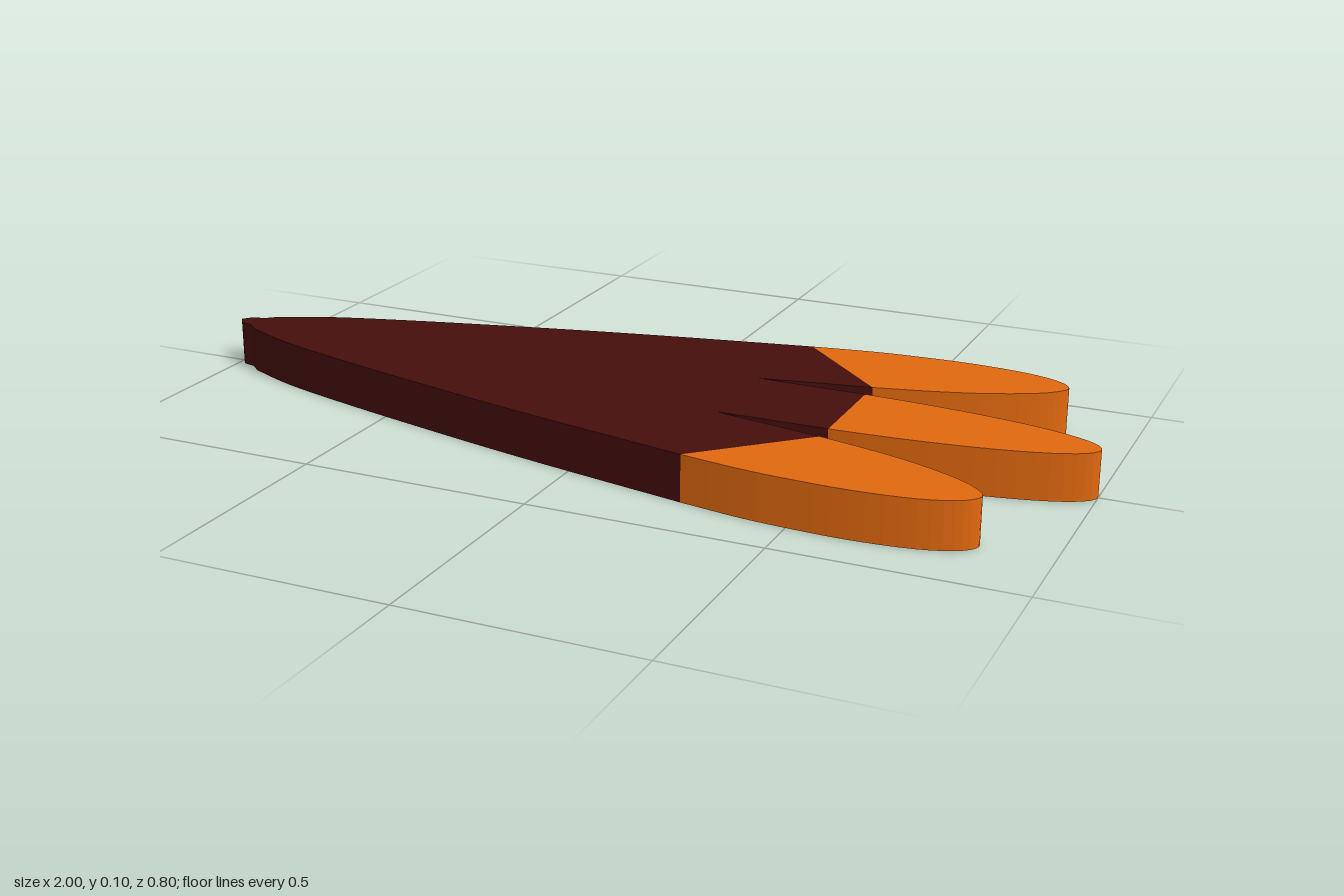
import * as THREE from 'three';

const HEIGHT = 0.1;
const dark = new THREE.MeshStandardMaterial({ color: 0x450f0d });
const orange = new THREE.MeshStandardMaterial({ color: 0xe0680f });

const toPoints = (list) => list.map(([x, z]) => new THREE.Vector2(x, z));
const smooth = (list, n) => new THREE.SplineCurve(toPoints(list)).getPoints(n);
const mirror = (points) => points.map((p) => new THREE.Vector2(p.x, -p.y)).reverse();

// Flat slab standing on y = 0 from an outline in the ground plane
function slab(name, outline, material) {
  const geometry = new THREE.ExtrudeGeometry(new THREE.Shape(outline), { depth: HEIGHT, bevelEnabled: false });
  geometry.rotateX(-Math.PI / 2);
  const mesh = new THREE.Mesh(geometry, material);
  mesh.name = name;
  return mesh;
}

export function createModel() {
  const group = new THREE.Group();
  group.name = 'threeLobedLeaf';

  // Body: curved side from the pointed end, then the cut edge, slit and middle stub
  const side = smooth([
    [-0.93, 0.05], [-0.8, 0.106], [-0.6, 0.165], [-0.4, 0.217],
    [-0.2, 0.266], [0, 0.31], [0.27, 0.365],
  ], 24);
  const half = [
    ...toPoints([[-0.985, 0.02], [-0.955, 0.028]]),
    ...side,
    ...toPoints([[0.48, 0.16], [0.24, 0.115], [0.48, 0.113]]),
  ];
  group.add(slab('body', [new THREE.Vector2(-1, 0), ...half, ...mirror(half)], dark));

  // Middle lobe: the end of a long ellipse, cut straight at the body
  const middle = [];
  const start = Math.acos(0.08 / 0.6);
  for (let i = 0; i <= 32; i++) {
    const a = start * (i / 16 - 1);
    middle.push(new THREE.Vector2(0.4 + 0.6 * Math.cos(a), 0.114 * Math.sin(a)));
  }
  group.add(slab('middleLobe', middle, orange));

  // Outer lobes, mirrored
  const outer = smooth([
    [0.27, 0.365], [0.4, 0.387], [0.5, 0.396], [0.62, 0.4], [0.74, 0.39], [0.82, 0.366],
    [0.855, 0.332], [0.84, 0.299], [0.79, 0.262], [0.7, 0.221], [0.6, 0.189], [0.48, 0.16],
  ], 40);
  group.add(slab('backLobe', outer, orange));
  group.add(slab('frontLobe', mirror(outer), orange));

  return group;
}
